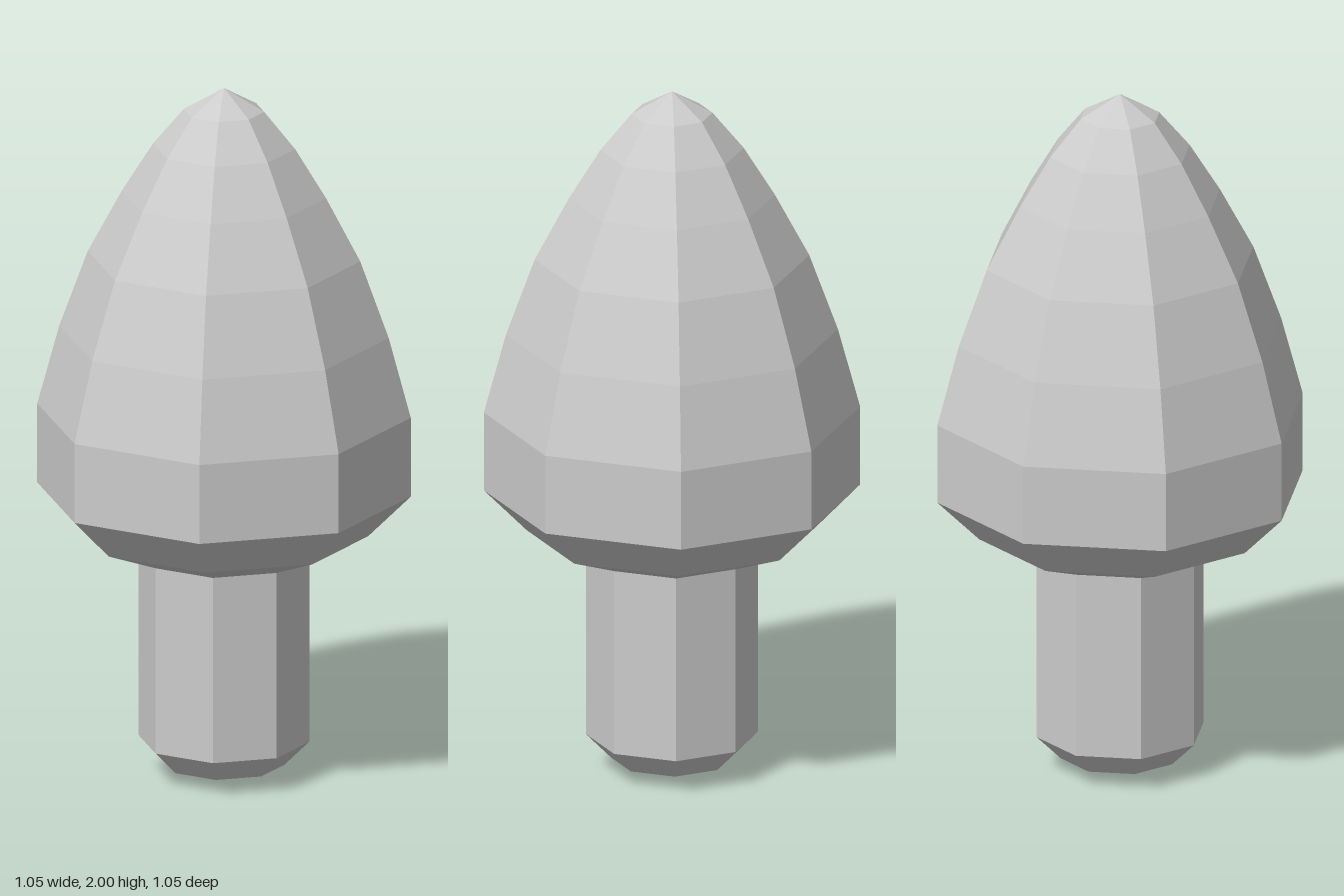
import * as THREE from 'three';

const SIDES = 8;

// Faceted turned part; profile runs from bottom to top as [radius, height]
function turned(name, profile, material) {
  const points = profile.map(([r, y]) => new THREE.Vector2(r, y));
  const geometry = new THREE.LatheGeometry(points, SIDES).toNonIndexed();
  geometry.computeVertexNormals();
  const mesh = new THREE.Mesh(geometry, material);
  mesh.name = name;
  return mesh;
}

export function createModel() {
  const model = new THREE.Group();
  model.name = 'mushroom';
  const material = new THREE.MeshStandardMaterial({ color: 0xcccccc, flatShading: true });

  // Octagonal stem with a rounded foot
  model.add(turned('stem', [
    [0, 0], [0.17, 0.035], [0.24, 0.105], [0.24, 0.645],
  ], material));

  // Tall pointed cap, tucked in to the stem underneath
  model.add(turned('cap', [
    [0.24, 0.645], [0.405, 0.71], [0.525, 0.83], [0.525, 1.06], [0.463, 1.29],
    [0.383, 1.51], [0.287, 1.69], [0.2, 1.83], [0.113, 1.935], [0, 2],
  ], material));

  return model;
}
